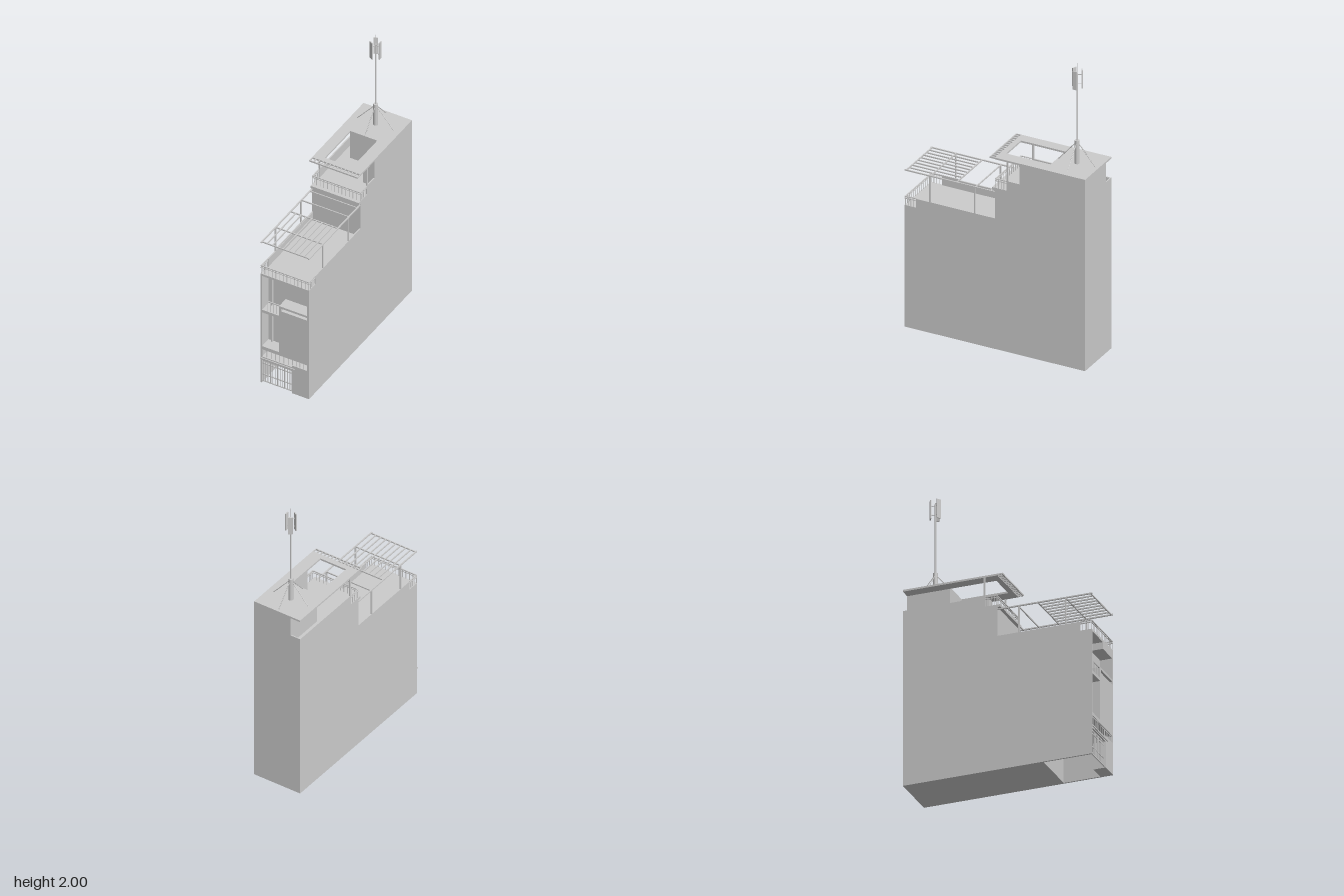
import * as THREE from 'three';

const mat = new THREE.MeshStandardMaterial({ color: 0xcccccc });

export function createModel() {
  const model = new THREE.Group();
  const group = (name) => {
    const g = new THREE.Group();
    g.name = name;
    model.add(g);
    return g;
  };
  const add = (parent, name, geo) => {
    const m = new THREE.Mesh(geo, mat);
    m.name = name;
    parent.add(m);
    return m;
  };
  // Box given by its limits on each axis
  const box = (parent, name, x0, x1, y0, y1, z0, z1) => {
    const m = add(parent, name, new THREE.BoxGeometry(x1 - x0, y1 - y0, z1 - z0));
    m.position.set((x0 + x1) / 2, (y0 + y1) / 2, (z0 + z1) / 2);
    return m;
  };
  // Round bar between two points
  const bar = (parent, name, a, b, r, sides = 6) => {
    const d = b.clone().sub(a);
    const m = add(parent, name, new THREE.CylinderGeometry(r, r, d.length(), sides));
    m.position.copy(a).addScaledVector(d, 0.5);
    m.quaternion.setFromUnitVectors(new THREE.Vector3(0, 1, 0), d.normalize());
    return m;
  };
  const pts = (list) => list.map(([x, y]) => new THREE.Vector2(x, y));
  const rect = (x0, x1, y0, y1) => [[x0, y0], [x1, y0], [x1, y1], [x0, y1]];
  const plate = (outline, holes, depth) => {
    const s = new THREE.Shape(pts(outline));
    holes.forEach((h) => s.holes.push(new THREE.Path(pts(h))));
    return new THREE.ExtrudeGeometry(s, { depth, bevelEnabled: false });
  };
  const W = 0.17, T = 0.008;

  // Facade layer with loggia openings; the garage is a notch open at the ground
  const notched = (x0, x1, top) =>
    [[-W, 0], [x0, 0], [x0, 0.175], [x1, 0.175], [x1, 0], [W, 0], [W, top], [-W, top]];
  const openings = [
    [[-0.16, 0.56], [-0.04, 0.56], [-0.04, 0.635], [0.005, 0.635], [0.155, 0.635],
      [0.155, 0.775], [0.005, 0.775], [0.005, 0.82], [-0.16, 0.82]],
    rect(-0.025, 0.155, 0.6, 0.62),
    rect(-0.16, -0.04, 0.28, 0.54),
    [[-0.16, 0.2], [0.05, 0.2], [0.05, 0.213], [0.155, 0.213], [0.155, 0.257], [-0.16, 0.257]],
  ];
  const body = group('building');
  add(body, 'facade', plate(notched(-0.16, 0.05, 0.835), openings, 0.08)).position.z = 0.54;
  add(body, 'garageBay', plate(notched(-0.16, 0.16, 0.835), [], 0.24)).position.z = 0.3;
  box(body, 'frontBlock', -W, W, 0, 0.835, 0, 0.3);
  box(body, 'rearBlock', -W, W, 0, 1.105, -0.62, 0);
  box(body, 'terraceLedge', -W, W, 1.088, 1.105, 0, 0.02);
  box(body, 'doorCanopy', -W, 0.07, 0.183, 0.192, 0.61, 0.626);

  // Parapets and the top storey around the open roof well
  for (const s of [-1, 1]) {
    const x = s * (W - T / 2);
    box(body, 'lowerParapet', x - T / 2, x + T / 2, 0.835, 0.895, 0, 0.54);
    box(body, 'upperParapet', x - T / 2, x + T / 2, 1.105, 1.17, -0.62, -0.08);
    box(body, 'roofPost', x - 0.004, x + 0.004, 1.105, 1.3, -0.09, -0.08);
  }
  box(body, 'rearParapet', -W, -0.1, 1.105, 1.17, -0.62, -0.612);
  box(body, 'topRoom', -0.1, W, 1.105, 1.3, -0.62, -0.34);
  box(body, 'sideRoom', 0.09, W, 1.105, 1.3, -0.34, -0.17);

  // Roof slab with skylight hole and slatted front eave
  const roof = group('roof');
  const slab = add(roof, 'roofSlab',
    plate(rect(-W, W, -0.62, 0), [rect(-0.1, 0.09, -0.34, -0.035)], 0.012));
  slab.rotation.x = Math.PI / 2;
  slab.position.y = 1.312;
  box(roof, 'eaveEdge', -W, W, 1.302, 1.312, 0.029, 0.035);
  for (let i = 0; i <= 13; i++) {
    const x = -0.1675 + i * 0.335 / 13;
    box(roof, 'eaveSlat', x - 0.0025, x + 0.0025, 1.302, 1.312, 0, 0.03);
  }

  // Loggia details: slim column, balcony bars
  const loggia = group('loggia');
  for (const [y0, y1] of [[0.28, 0.54], [0.56, 0.82]])
    box(loggia, 'slimColumn', -0.136, -0.126, y0, y1, 0.54, 0.555);
  const bars = (parent, x0, x1, y0, y1, z, n) => {
    box(parent, 'topRail', x0, x1, y1 - 0.006, y1, z - 0.003, z + 0.003);
    for (let i = 0; i <= n; i++) {
      const x = x0 + (x1 - x0) * i / n;
      box(parent, 'baluster', x - 0.0015, x + 0.0015, y0, y1, z - 0.0015, z + 0.0015);
    }
  };
  bars(loggia, -0.125, -0.04, 0.56, 0.635, 0.612, 4);
  bars(loggia, -0.16, 0.05, 0.2, 0.257, 0.612, 7);
  bars(loggia, 0.05, 0.155, 0.213, 0.257, 0.612, 4);

  // Garage gate
  const gate = group('garageGate');
  bars(gate, -0.158, 0.048, 0.008, 0.17, 0.61, 12);
  for (const y of [0.01, 0.06, 0.145])
    box(gate, 'gateRail', -0.16, 0.05, y - 0.003, y + 0.003, 0.607, 0.613);
  for (const x of [-0.155, -0.105, -0.055, -0.005, 0.045])
    box(gate, 'gateStile', x - 0.003, x + 0.003, 0.008, 0.17, 0.607, 0.613);

  // Terrace railings that wrap round three sides
  const railing = (name, y0, y1, zBack, zFront) => {
    const g = group(name);
    bars(g, -W + 0.003, W - 0.003, y0, y1, zFront - 0.004, 13);
    const mid = y1 - 0.016;
    box(g, 'midRail', -W, W, mid - 0.002, mid + 0.002, zFront - 0.006, zFront - 0.002);
    for (const s of [-1, 1]) {
      const x = s * (W - 0.003);
      for (const y of [mid, y1 - 0.003])
        box(g, 'sideRail', x - 0.003, x + 0.003, y - 0.002, y + 0.003, zBack, zFront);
      for (let i = 0; i < 5; i++) {
        const z = zBack + (zFront - zBack - 0.004) * i / 4;
        box(g, 'sideBaluster', x - 0.0015, x + 0.0015, y0, y1, z - 0.0015, z + 0.0015);
      }
    }
  };
  railing('lowerRailing', 0.835, 0.897, 0.54, 0.62);
  railing('upperRailing', 1.105, 1.17, -0.08, 0);

  // Pergola: side beams, cross beams, posts, slats over the front half
  const pergola = group('pergola');
  for (const s of [-1, 1]) {
    const x = s * 0.166;
    box(pergola, 'sideBeam', x - 0.004, x + 0.004, 1.07, 1.078, 0, 0.62);
    for (const z of [0.14, 0.447])
      box(pergola, 'post', x - 0.004, x + 0.004, 0.835, 1.07, z - 0.004, z + 0.004);
  }
  for (const z of [0.033, 0.135, 0.265, 0.445, 0.61])
    box(pergola, 'crossBeam', -W, W, 1.07, 1.078, z - 0.003, z + 0.003);
  for (let i = 1; i < 9; i++) {
    const x = -0.166 + i * 0.332 / 9;
    box(pergola, 'slat', x - 0.003, x + 0.003, 1.07, 1.078, 0.265, 0.61);
  }

  // Mast with guy wires and three curved aerial panels
  const mast = group('mast');
  mast.position.z = -0.475;
  const v = (x, y, z) => new THREE.Vector3(x, y, z);
  bar(mast, 'mastBase', v(0, 1.31, 0), v(0, 1.47, 0), 0.015, 12);
  bar(mast, 'mastPole', v(0, 1.47, 0), v(0, 1.93, 0), 0.005, 10);
  bar(mast, 'mastTip', v(0, 1.93, 0), v(0, 2, 0), 0.0015);
  for (let i = 0; i < 4; i++) {
    const c = Math.cos(i * Math.PI / 2), s = Math.sin(i * Math.PI / 2);
    bar(mast, 'guyWire', v(0.01 * c, 1.45, 0.01 * s), v(0.13 * c, 1.31, 0.13 * s), 0.0025);
  }
  for (let i = 0; i < 3; i++) {
    const arm = new THREE.Group();
    arm.name = 'aerial';
    arm.rotation.y = i * Math.PI * 2 / 3;
    mast.add(arm);
    box(arm, 'aerialPanel', 0.027, 0.034, 1.83, 1.955, -0.014, 0.014);
    for (const y of [1.86, 1.92])
      bar(arm, 'aerialBracket', v(0, y, 0), v(0.028, y, 0), 0.002);
  }
  return model;
}
